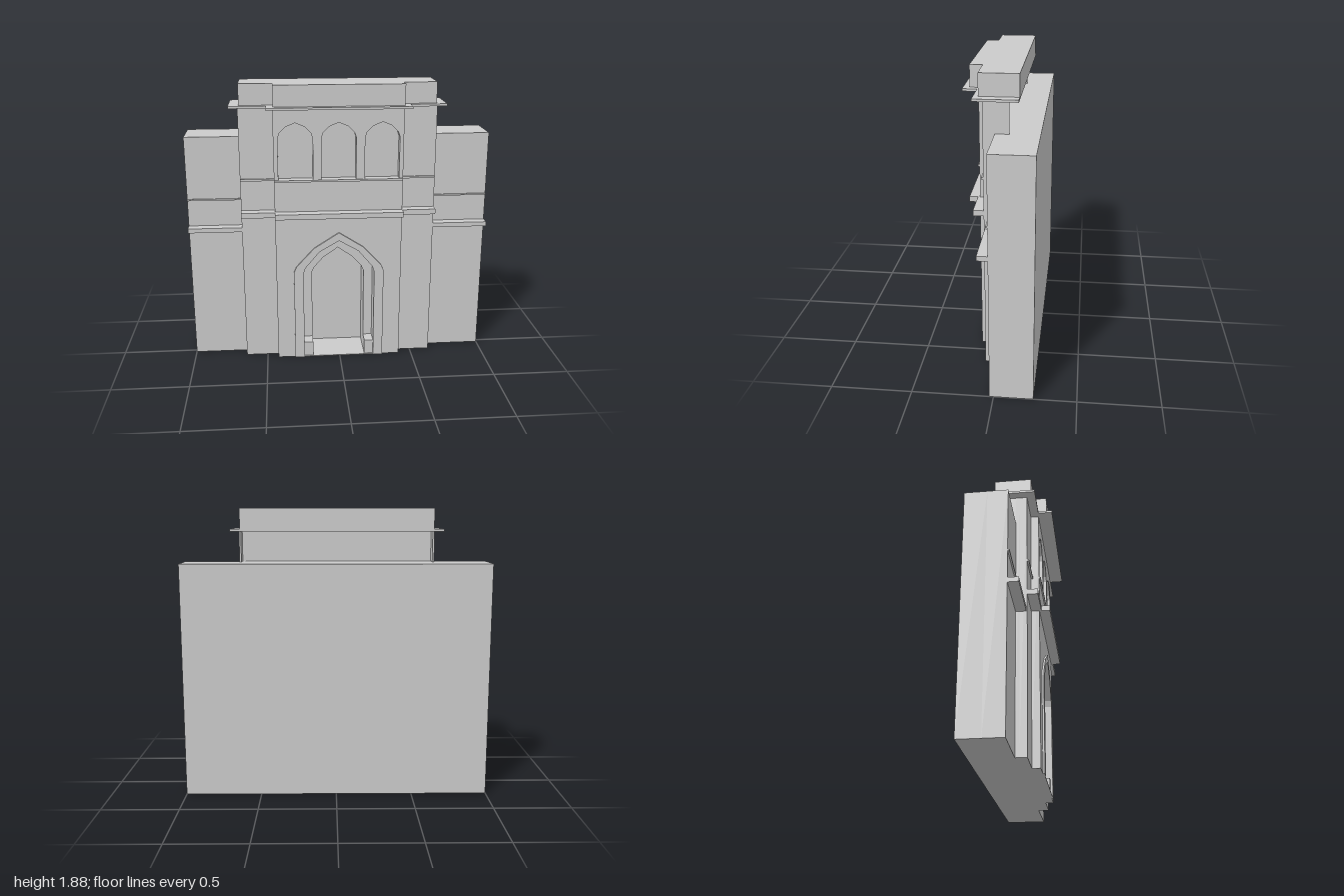
import * as THREE from 'three';

const CX = -0.006; // the gate sits very slightly off the wall's centre
const material = new THREE.MeshStandardMaterial({ color: 0xcccccc, flatShading: true });

// Right half of each pointed arch, from springing to apex
const FRAME_ARCH = [[0.302, 0.63], [0.285, 0.67], [0.165, 0.8], [0, 0.905]];
const PORTAL_ARCH = [[0.238, 0.62], [0.226, 0.66], [0.13, 0.775], [0, 0.85]];
const DOOR_ARCH = [[0.178, 0.59], [0.162, 0.625], [0.1, 0.695], [0, 0.765]];
const NICHE_ARCH = [[0.112, 1.54], [0.1, 1.575], [0.06, 1.615], [0, 1.64]];

// Full outline of an arch, running from bottom right over the apex to bottom left
function archPoints(half, base, cx) {
  const right = [[half[0][0], base], ...half];
  const left = right.slice(0, -1).reverse().map(([x, y]) => [-x, y]);
  return [...right, ...left].map(([x, y]) => new THREE.Vector2(x + cx, y));
}

export function createModel() {
  const group = new THREE.Group();

  function add(name, geometry) {
    const mesh = new THREE.Mesh(geometry, material);
    mesh.name = name;
    group.add(mesh);
    return mesh;
  }

  function box(name, x0, x1, y0, y1, z0, z1) {
    const mesh = add(name, new THREE.BoxGeometry(x1 - x0, y1 - y0, z1 - z0));
    mesh.position.set((x0 + x1) / 2, (y0 + y1) / 2, (z0 + z1) / 2);
  }

  // Upright slab with an arched opening cut up from the ground
  function slab(name, x0, x1, height, z0, z1, arch, holes = []) {
    const shape = new THREE.Shape([
      new THREE.Vector2(x0, 0), new THREE.Vector2(x0, height),
      new THREE.Vector2(x1, height), new THREE.Vector2(x1, 0),
      ...archPoints(arch, 0, CX),
    ]);
    shape.holes = holes.map((points) => new THREE.Path(points));
    const geometry = new THREE.ExtrudeGeometry(shape, { depth: z1 - z0, bevelEnabled: false });
    add(name, geometry.translate(0, 0, z0));
  }

  // Horizontal plate whose middle steps forward, [x0, x1, front z] for each step
  function steppedPlate(name, outer, inner, back, y0, y1) {
    const [a, b, zOuter] = outer;
    const [c, d, zInner] = inner;
    const plan = [[a, back], [b, back], [b, zOuter], [d, zOuter], [d, zInner], [c, zInner], [c, zOuter], [a, zOuter]];
    const shape = new THREE.Shape(plan.map(([x, z]) => new THREE.Vector2(x, -z)));
    const geometry = new THREE.ExtrudeGeometry(shape, { depth: y1 - y0, bevelEnabled: false });
    add(name, geometry.rotateX(-Math.PI / 2).translate(0, y0, 0));
  }

  // Main wall: solid back, front layer cut by the door recess
  box('wallBack', -1, 1, 0, 1.535, -0.24, -0.1);
  slab('wallFront', -1, 1, 1.535, -0.1, 0.025, DOOR_ARCH);

  // Gate tiers stepping forward
  slab('gateInnerLayer', -0.645, 0.633, 1.735, 0.025, 0.05, DOOR_ARCH);
  slab('gateMiddleTier', -0.645, 0.633, 1.735, 0.05, 0.095, PORTAL_ARCH);
  const niches = [-0.285, CX, 0.275].map((x) => archPoints(NICHE_ARCH, 1.268, x));
  slab('gateFrontTier', -0.425, 0.413, 1.735, 0.095, 0.147, PORTAL_ARCH, niches);

  // Side returns of the open-backed upper storey
  box('upperSideRight', -0.645, -0.633, 1.5, 1.735, -0.06, 0.03);
  box('upperSideLeft', 0.621, 0.633, 1.5, 1.735, -0.06, 0.03);

  // Raised frame round the portal
  const frame = new THREE.Shape([
    ...archPoints(FRAME_ARCH, 0, CX),
    ...archPoints(PORTAL_ARCH, 0, CX).reverse(),
  ]);
  add('portalFrame', new THREE.ExtrudeGeometry(frame, { depth: 0.02, bevelEnabled: false }).translate(0, 0, 0.139));

  // Portal floor and the two benches beside the door
  box('portalFloor', CX - 0.238, CX + 0.238, 0, 0.005, -0.1, 0.155);
  for (const side of [-1, 1]) {
    const x = CX + side * 0.208;
    box(side < 0 ? 'benchRight' : 'benchLeft', x - 0.03, x + 0.03, 0, 0.105, 0.05, 0.145);
  }

  // Ledges and string courses
  steppedPlate('gateLedge', [-0.645, 0.633, 0.16], [-0.425, 0.413, 0.213], 0.06, 1.02, 1.055);
  steppedPlate('nicheSill', [-0.645, 0.633, 0.107], [-0.425, 0.413, 0.157], 0.09, 1.255, 1.268);
  for (const [side, x0, x1] of [['Right', -1, -0.645], ['Left', 0.633, 1]]) {
    box('wallLedge' + side, x0, x1, 0.905, 0.935, 0.02, 0.09);
    box('wallCourse' + side, x0, x1, 1.11, 1.12, 0.02, 0.036);
  }

  // Cornice and parapet
  steppedPlate('cornice', [-0.7, 0.685, 0.15], [-0.465, 0.45, 0.24], -0.118, 1.735, 1.75);
  steppedPlate('parapet', [-0.635, 0.622, 0.12], [-0.42, 0.408, 0.2], -0.118, 1.75, 1.885);

  return group;
}
